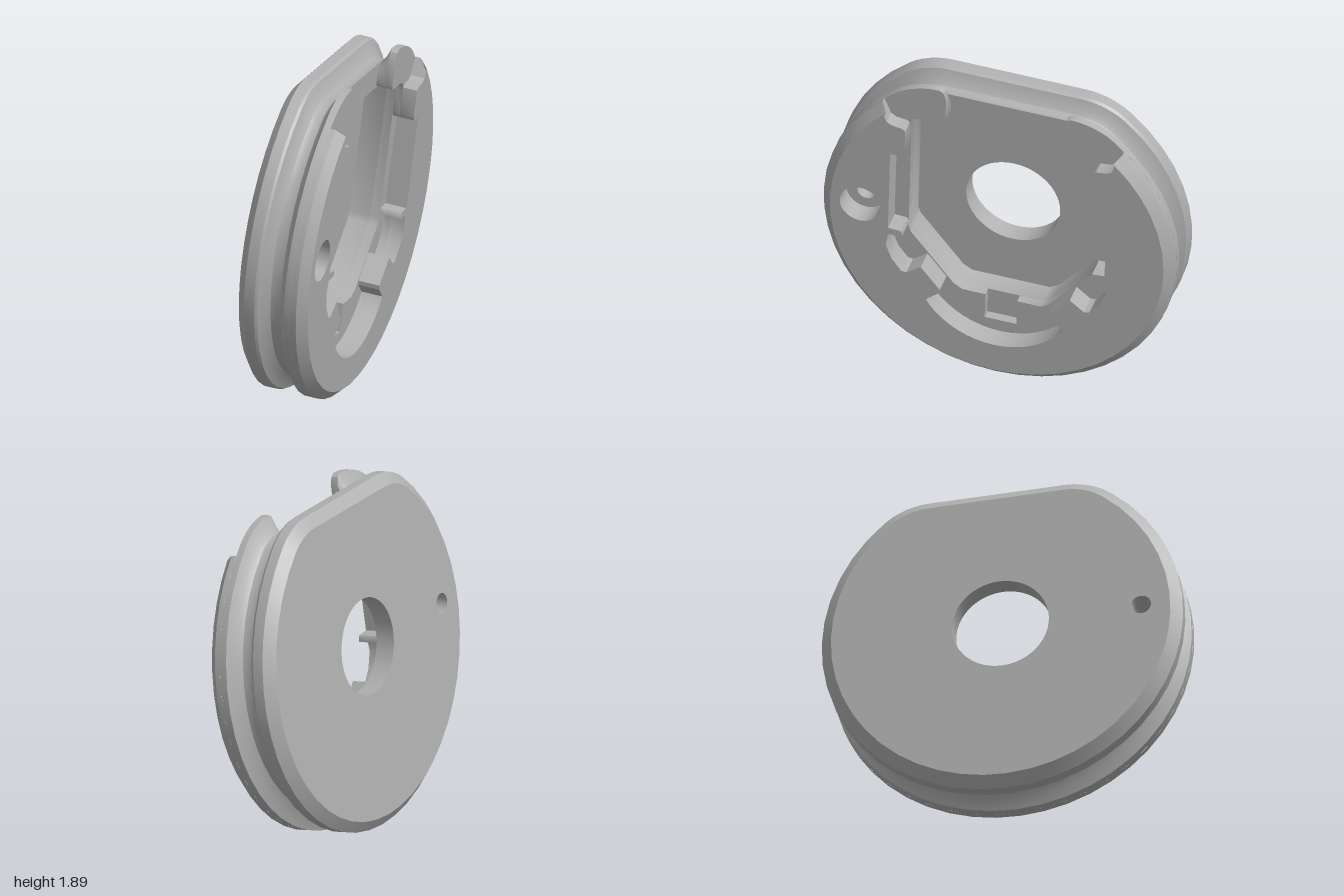
import * as THREE from 'three';
import { toCreasedNormals } from 'three/addons/utils/BufferGeometryUtils.js';

const rad = THREE.MathUtils.degToRad;

// Mirror a right-hand half path (top to bottom) into a full clockwise path
function mirror(half) {
  const left = half.filter(([x]) => Math.abs(x) > 1e-6).map(([x, y]) => [-x, y]).reverse();
  return [...half, ...left];
}

function arc(cx, cy, r, from, to, steps) {
  return Array.from({ length: steps + 1 }, (_, i) => {
    const a = rad(from + (to - from) * i / steps);
    return [cx + r * Math.cos(a), cy + r * Math.sin(a)];
  });
}

// Clockwise circle, used as a hole
const hole = (cx, cy, r, n = 32) => arc(cx, cy, r, 360, 0, n).slice(0, -1);

// Right half of the wheel outline, inset by d, below a given start angle
const rim = (d, from = 51.2) => [...arc(0, 0, 0.99 - d, from, -90, 18).slice(0, -1), [0, d - 0.99]];
const shoulder = d => arc(0.37, 0.46, 0.4 - d, 90, 51.2, 6).slice(0, -1);

// Closed outline with a flat top
const fullOutline = d => mirror([...shoulder(d), ...rim(d)]).reverse();

// Open ring: outer path down one side and up the other, then back along the inner path
const openRing = (outerHalf, innerHalf) => d =>
  [...mirror(outerHalf(d)), ...mirror(innerHalf).reverse()].reverse();

// One slice of the wheel: profile is a list of [axial position, inset]
function layer(name, material, outline, holes, profile, backCap = false) {
  const pos = [];
  const tri = (...pts) => pts.forEach(p => pos.push(...p));
  const wall = (a, za, b, zb) => a.forEach((p, i) => {
    const j = (i + 1) % a.length;
    const p0 = [...p, za], p1 = [...a[j], za], q0 = [...b[i], zb], q1 = [...b[j], zb];
    tri(p0, p1, q1);
    tri(p0, q1, q0);
  });
  const cap = (loop, z, flip) => {
    const v = l => l.map(p => new THREE.Vector2(...p));
    const all = [loop, ...holes].flat();
    for (const [a, b, c] of THREE.ShapeUtils.triangulateShape(v(loop), holes.map(v))) {
      const t = [a, b, c].map(i => [...all[i], z]);
      tri(...(flip ? t.reverse() : t));
    }
  };
  for (let i = 0; i + 1 < profile.length; i++) {
    const [z0, d0] = profile[i], [z1, d1] = profile[i + 1];
    wall(outline(d0), z0, outline(d1), z1);
  }
  const [zA, dA] = profile[0], [zB, dB] = profile[profile.length - 1];
  holes.forEach(h => wall(h, zA, h, zB));
  cap(outline(dB), zB, false);
  if (backCap) cap(outline(dA), zA, true);
  const geo = new THREE.BufferGeometry();
  geo.setAttribute('position', new THREE.Float32BufferAttribute(pos, 3));
  const mesh = new THREE.Mesh(toCreasedNormals(geo, 0.6), material);
  mesh.name = name;
  return mesh;
}

export function createModel() {
  const grey = new THREE.MeshStandardMaterial({ color: 0xb0b0b0 });
  grey.name = 'grey';

  const boltHole = hole(-0.77, 0.012, 0.055, 20);
  const counterbore = hole(-0.77, 0.012, 0.115, 28);

  // Pocket edges, right half from top to bottom
  const pocketTop = [[0.48, 0.63], [0.515, 0.615], [0.53, 0.58]];
  const pocketSide = [[0.53, -0.17], [0.515, -0.21], [0.27, -0.5], [0.22, -0.53]];
  const tabCorner = [[0.33, 0.66], [0.34, 0.637], [0.36, 0.63]];
  const slot = [[0.09, -0.53], [0.09, -0.69]];
  const notches = [
    [0.53, 0.44], [0.545, 0.415], [0.61, 0.41],
    [0.61, -0.11], [0.54, -0.115], [0.53, -0.13], [0.53, -0.15],
    [0.61, -0.155], [0.62, -0.23], [0.585, -0.32], [0.53, -0.39], [0.5, -0.395],
    [0.42, -0.335], [0.31, -0.465], [0.315, -0.49], [0.385, -0.55],
    ...arc(0, -0.305, 0.46, -36, -90, 8).slice(0, -1), [0, -0.765],
  ];

  // Outer edges of the two upper tabs and of the front rim's horns
  const tabOuter = d => [[0.33, 0.8 - d], [0.345, 0.845 - d], ...shoulder(d), ...rim(d)];
  const hornOuter = d => rim(d, 47);
  const hornInner = [[0.65, 0.665], [0.635, 0.63], [0.605, 0.612], [0.545, 0.605], [0.53, 0.59]];

  const wheel = new THREE.Group();
  wheel.name = 'wheel';
  wheel.add(
    // Back plate with centre hole
    layer('backFlange', grey, fullOutline, [hole(0, 0.015, 0.265, 48), boltHole],
      [[-0.2, 0.06], [-0.15, 0], [-0.09, 0]], true),
    // Rope groove around the pocket
    layer('grooveBody', grey, fullOutline, [mirror([...pocketTop, ...pocketSide]), boltHole],
      [[-0.09, 0], [-0.075, 0.01], [-0.055, 0.06], [-0.03, 0.09], [0, 0.097], [0.03, 0.09]]),
    // Front wall of the groove, open at the top
    layer('grooveFrontWall', grey,
      openRing(tabOuter, [...tabCorner, ...pocketTop, ...pocketSide, ...slot]), [boltHole],
      [[0.03, 0.09], [0.055, 0.06], [0.075, 0.01], [0.08, 0]]),
    // Notched ring with the two upper tabs
    layer('tabRing', grey,
      openRing(tabOuter, [...tabCorner, ...pocketTop, ...notches]), [counterbore],
      [[0.08, 0], [0.12, 0]]),
    // Front rim ending in two horns
    layer('frontRim', grey, openRing(hornOuter, [...hornInner, ...notches]), [counterbore],
      [[0.12, 0], [0.15, 0], [0.2, 0.05]]),
  );

  // Tilt the wheel axis
  const axis = new THREE.Vector3(0.984, -0.108, 0.141).normalize();
  const up = new THREE.Vector3().crossVectors(axis, new THREE.Vector3(0.1355, -0.058, -0.99)).normalize();
  const side = new THREE.Vector3().crossVectors(up, axis);
  wheel.quaternion.setFromRotationMatrix(new THREE.Matrix4().makeBasis(side, up, axis));
  wheel.position.set(0, 0.998, 0);

  const model = new THREE.Group();
  model.name = 'tiltedPulley';
  model.add(wheel);
  return model;
}
